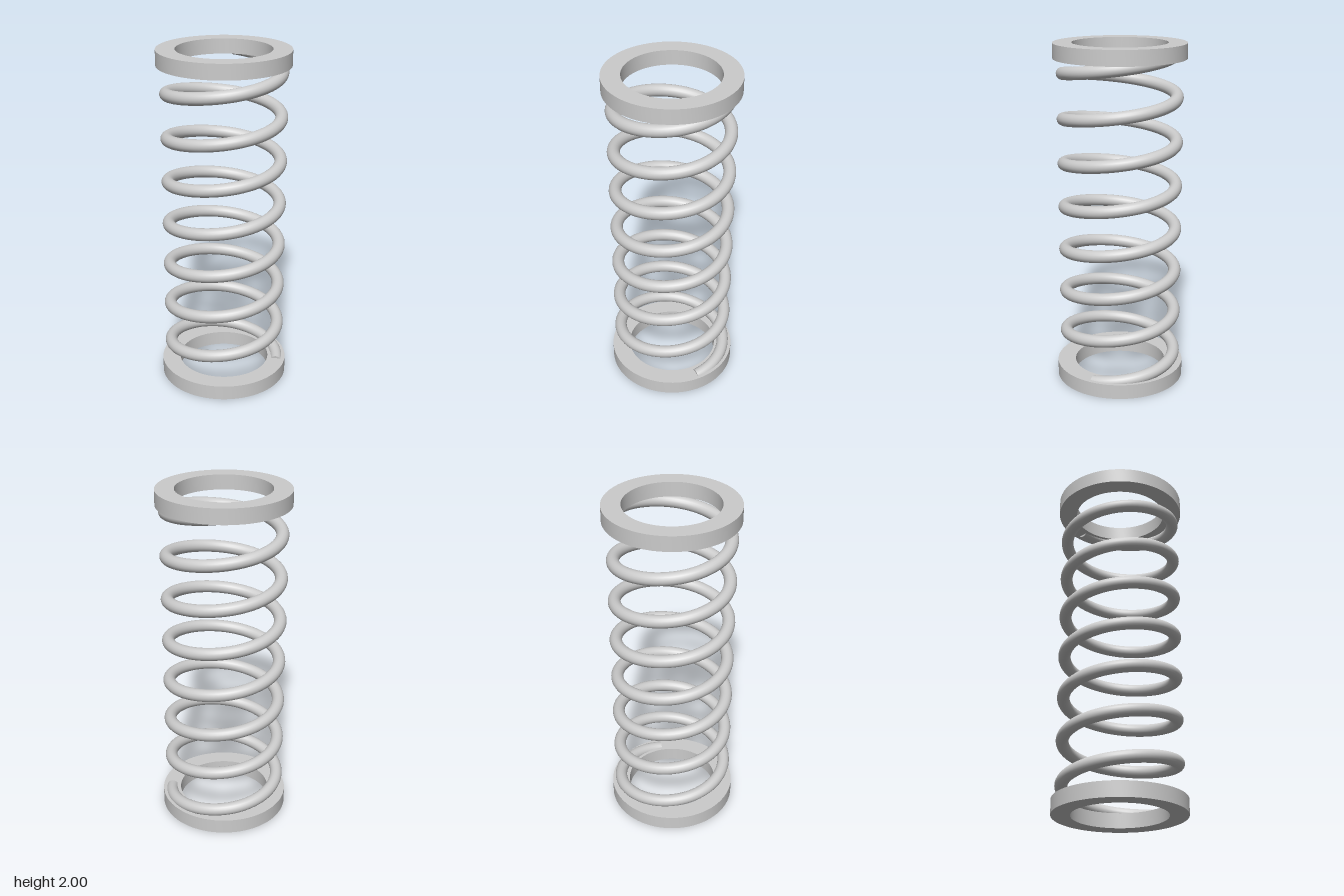
import * as THREE from 'three';
import { toCreasedNormals } from 'three/addons/utils/BufferGeometryUtils.js';

const COIL_RADIUS = 0.3235, WIRE_RADIUS = 0.036, TURNS = 7.25;
const COIL_BOTTOM = 0.066, COIL_TOP = 1.935;
const RING_INNER = 0.27, RING_OUTER = 0.377, RING_HEIGHT = 0.087;

// Rising helix that starts at +x and turns towards -z
class Helix extends THREE.Curve {
  getPoint(t, target = new THREE.Vector3()) {
    const a = t * TURNS * Math.PI * 2;
    return target.set(
      COIL_RADIUS * Math.cos(a),
      THREE.MathUtils.lerp(COIL_BOTTOM, COIL_TOP, t),
      -COIL_RADIUS * Math.sin(a)
    );
  }
}

export function createModel() {
  const model = new THREE.Group();
  model.name = 'coilSpring';
  const material = new THREE.MeshStandardMaterial({ color: 0xcccccc });

  function add(name, geometry) {
    const mesh = new THREE.Mesh(geometry, material);
    mesh.name = name;
    model.add(mesh);
    return mesh;
  }

  // Flat end rings, a closed rectangular profile turned about y
  const profile = [
    [RING_OUTER, 0], [RING_OUTER, RING_HEIGHT],
    [RING_INNER, RING_HEIGHT], [RING_INNER, 0], [RING_OUTER, 0],
  ].map(([r, y]) => new THREE.Vector2(r, y));
  const ring = toCreasedNormals(new THREE.LatheGeometry(profile, 96), Math.PI / 6);
  add('bottomRing', ring);
  add('topRing', ring).position.y = 2 - RING_HEIGHT;

  // Spring wire
  const helix = new Helix();
  add('coil', new THREE.TubeGeometry(helix, 520, WIRE_RADIUS, 20));

  // Flat cut ends of the wire
  for (const [name, t, direction] of [['coilStartCap', 0, -1], ['coilEndCap', 1, 1]]) {
    const cap = add(name, new THREE.CircleGeometry(WIRE_RADIUS, 20));
    const outward = helix.getTangent(t).multiplyScalar(direction);
    cap.position.copy(helix.getPoint(t));
    cap.quaternion.setFromUnitVectors(new THREE.Vector3(0, 0, 1), outward);
  }

  return model;
}
